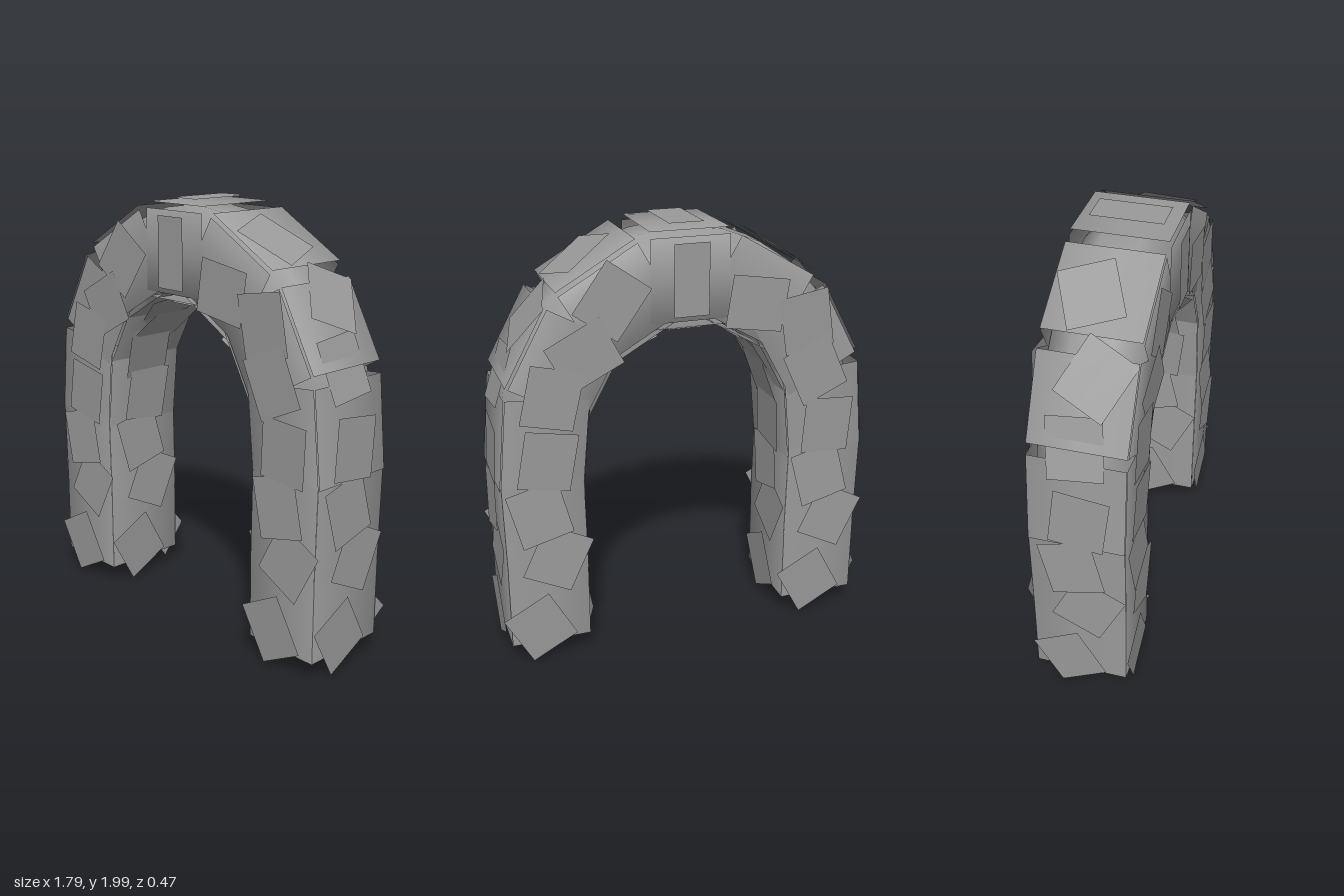
import * as THREE from 'three';
import { ParametricGeometry } from 'three/addons/geometries/ParametricGeometry.js';

// Centre line of the arch, mirrored about the apex
const half = [[0.675, 0.1], [0.675, 0.5], [0.675, 0.9], [0.635, 1.24], [0.5, 1.52], [0.27, 1.7]];
const curve = new THREE.CatmullRomCurve3([
  ...half.map(([x, y]) => new THREE.Vector3(-x, y, 0)),
  new THREE.Vector3(0, 1.765, 0),
  ...half.slice().reverse().map(([x, y]) => new THREE.Vector3(x, y, 0)),
], false, 'centripetal');
curve.arcLengthDivisions = 400;
const length = curve.getLength();
const zAxis = new THREE.Vector3(0, 0, 1);

// Distance from centre line to the eight flat sides: in the arch plane and in depth
const CORNER = 1 / Math.cos(Math.PI / 8);
const DEPTH = 0.205;
const radiusAt = (u) => 0.178 + 0.025 * Math.sin(Math.PI * u) ** 4;

// Position and directions on the hedge at u along it and angle around it
function hedgePoint(u, angle, scale = 1, lift = 0) {
  const along = curve.getTangentAt(u);
  const side = new THREE.Vector3().crossVectors(zAxis, along);
  const out = side.clone().multiplyScalar(Math.cos(angle)).addScaledVector(zAxis, Math.sin(angle));
  const position = curve.getPointAt(u)
    .addScaledVector(side, Math.cos(angle) * (radiusAt(u) * scale + lift))
    .addScaledVector(zAxis, Math.sin(angle) * (DEPTH * scale + lift));
  return { position, along, out };
}

// Flat panel whose normals fan out sideways, so that it shades like a rounded hedge
function panelGeometry(width, height, fan) {
  const geometry = new THREE.PlaneGeometry(width, height, 2, 1);
  const { position, normal } = geometry.attributes;
  for (let i = 0; i < position.count; i++) {
    const n = new THREE.Vector3(fan * position.getX(i) / width, 0, 1).normalize();
    normal.setXYZ(i, n.x, n.y, n.z);
  }
  return geometry;
}

export function createModel() {
  const group = new THREE.Group();
  group.name = 'leafyArch';
  const material = new THREE.MeshStandardMaterial({ color: 0x9a9a9a, side: THREE.DoubleSide });

  // Eight-sided hedge core with smooth shading
  const core = new THREE.Mesh(new ParametricGeometry((u, v, target) => {
    target.copy(hedgePoint(v, Math.PI * (2 * u + 1 / 8), CORNER).position);
  }, 8, 28), material);
  core.name = 'archCore';
  group.add(core);

  // Shallow domes closing the feet
  for (const side of [-1, 1]) {
    const foot = new THREE.Mesh(
      new THREE.SphereGeometry(CORNER, 8, 3, Math.PI / 8, Math.PI * 2, Math.PI / 2, Math.PI / 2), material);
    foot.name = side > 0 ? 'leftFootCap' : 'rightFootCap';
    foot.scale.set(radiusAt(0), 0.04, DEPTH);
    foot.position.set(side * 0.675, 0.1, 0);
    group.add(foot);
  }

  // Flat card: s = distance along the arch, spin = turn in its own plane, shift = slide sideways
  function addCard(name, s, angle, geometry, lift, { spin = 0, tilt = 0, shift = 0 } = {}) {
    const { position, along, out } = hedgePoint(s / length, angle, 1, lift);
    const across = new THREE.Vector3().crossVectors(along, out);
    const card = new THREE.Mesh(geometry, material);
    card.name = name;
    card.quaternion.setFromRotationMatrix(new THREE.Matrix4().makeBasis(across, along, out));
    card.rotateX(tilt);
    card.rotateZ(spin);
    card.position.copy(position).addScaledVector(across, shift);
    group.add(card);
  }

  // Turned leaf cards: [distance, spin, tilt]
  const turned = [[0.083, 0.5, 0.03], [0.43, -0.46, -0.03], [0.66, 0.25, -0.04], [0.91, -0.12, 0.02],
    [1.2, 0.1, 0], [1.43, -0.46, 0.03], [1.68, 0.4, 0]];
  // Broad panels that square off the hedge: [distance, panel length]
  const panels = [[0.18, 0.36], [0.575, 0.45], [0.98, 0.42], [1.35, 0.38], [1.7, 0.4]];
  const leaf = panelGeometry(0.24, 0.27, 0);

  for (let i = 0; i < 4; i++) {
    const angle = i * Math.PI / 2;
    const width = i % 2 ? 0.37 : 0.42;
    for (const fromEnd of [false, true]) {
      const place = (s) => (fromEnd ? length - s : s);
      const lean = fromEnd ? -1 : 1;
      for (const [s, spin, tilt] of turned) {
        addCard('leafCard', place(s), angle, leaf, 0.02,
          { spin, tilt: tilt * lean, shift: -0.1 * spin * lean });
      }
      for (const [s, size] of panels) {
        addCard('hedgePanel', place(s), angle, panelGeometry(width, size, 1), 0.006);
      }
    }
    // Panel and leaf card at the apex
    addCard('hedgePanel', length / 2, angle, panelGeometry(width, 0.36, 1), 0.01);
    addCard('leafCard', length / 2, angle, panelGeometry(0.32, 0.16, 0), 0.03);
  }
  return group;
}
